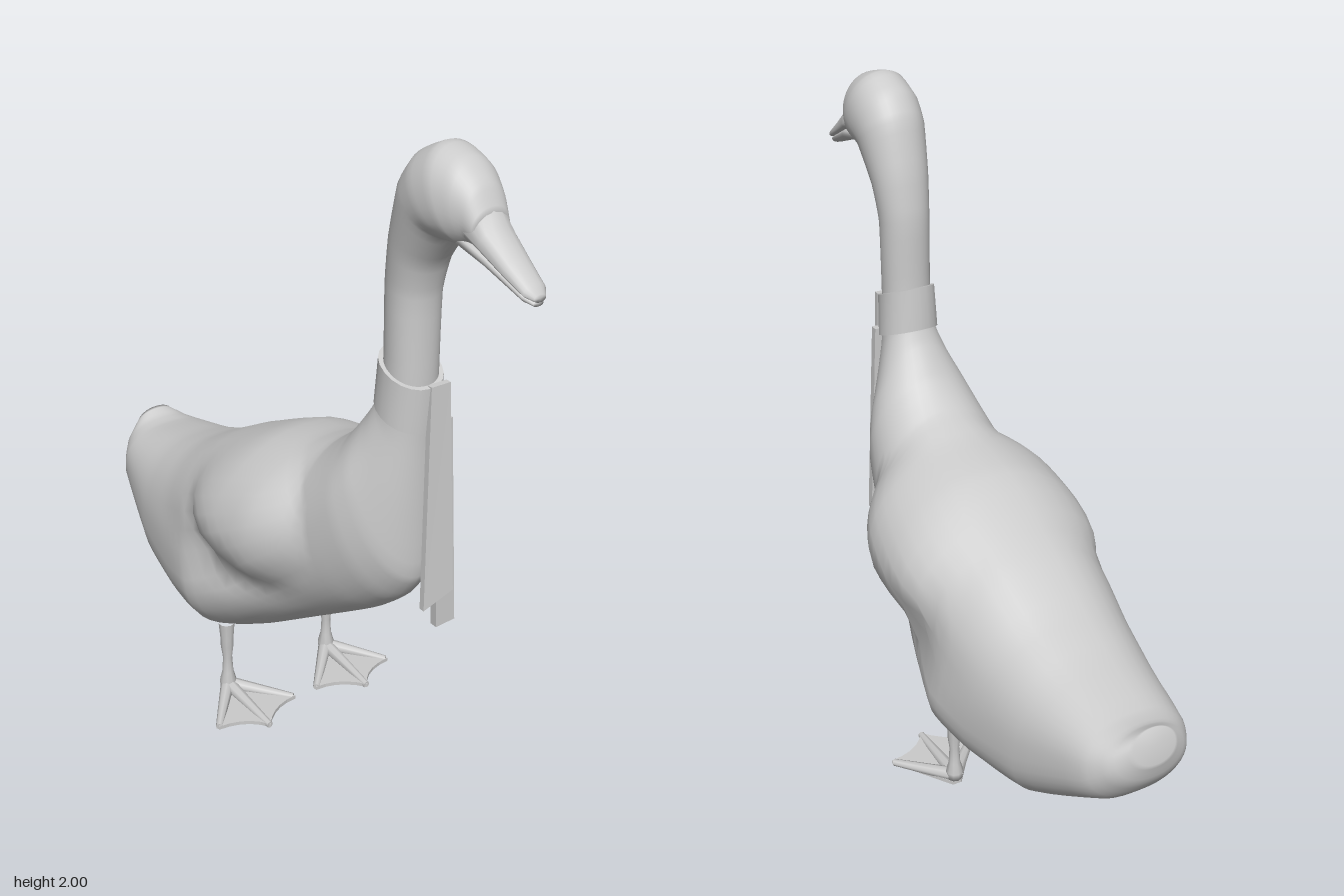
import * as THREE from 'three';
import { toCreasedNormals } from 'three/addons/utils/BufferGeometryUtils.js';

const material = new THREE.MeshStandardMaterial({ color: 0xcccccc });

function addMesh(parent, name, geometry) {
  const mesh = new THREE.Mesh(geometry, material);
  mesh.name = name;
  parent.add(mesh);
  return mesh;
}

// Add rings between the given ones along a fairly taut curve
function refine(sections, steps) {
  const full = sections.map(([a, b, c, d, w, m = 0.5, n = 2.1]) => [a, b, c, d, w, m, n]);
  const at = (i) => full[Math.max(0, Math.min(full.length - 1, i))];
  const out = [];
  for (let i = 0; i < full.length - 1; i++) {
    for (let s = 0; s < steps; s++) {
      const t = s / steps, ease = t * t * (3 - 2 * t);
      out.push(full[i].map((p, k) => {
        const q = at(i + 1)[k];
        const curve = p + (q - at(i - 1)[k]) * 0.4 * t * (1 - t) ** 2 - (at(i + 2)[k] - p) * 0.4 * t * t * (1 - t) + (q - p) * ease;
        return (curve + p + (q - p) * t) / 2;
      }));
    }
  }
  out.push(at(full.length));
  return out;
}

// Skin through rings. Each section: [topZ, topY, bottomZ, bottomY, halfWidth, widest height 0..1, squareness]
function loft(sections, sides = 24, caps = true) {
  const pos = [], index = [];
  for (const [tz, ty, bz, by, w, m = 0.5, n = 2.1] of sections) {
    for (let i = 0; i < sides; i++) {
      const a = (i / sides) * Math.PI * 2;
      const round = (v) => Math.sign(v) * Math.pow(Math.abs(v), 2 / n);
      const s = round(Math.sin(a));
      const t = m + s * (s > 0 ? 1 - m : m);
      pos.push(w * round(Math.cos(a)), by + (ty - by) * t, bz + (tz - bz) * t);
    }
  }
  for (let r = 0; r < sections.length - 1; r++) {
    for (let i = 0; i < sides; i++) {
      const a = r * sides + i, b = r * sides + ((i + 1) % sides);
      index.push(a, b, b + sides, a, b + sides, a + sides);
    }
  }
  if (caps) {
    for (const last of [false, true]) {
      const [tz, ty, bz, by] = sections[last ? sections.length - 1 : 0];
      const base = last ? (sections.length - 1) * sides : 0;
      const centre = pos.length / 3;
      pos.push(0, (ty + by) / 2, (tz + bz) / 2);
      for (let i = 0; i < sides; i++) {
        const a = base + i, b = base + ((i + 1) % sides);
        if (last) index.push(centre, a, b);
        else index.push(centre, b, a);
      }
    }
  }
  const g = new THREE.BufferGeometry();
  g.setAttribute('position', new THREE.Float32BufferAttribute(pos, 3));
  g.setIndex(index);
  g.computeVertexNormals();
  return g;
}

// Swell the shoulders into folded wings and pinch a waist between wing and belly
function swellWings(g) {
  const p = g.attributes.position;
  for (let i = 0; i < p.count; i++) {
    const y = p.getY(i), dz = p.getZ(i) - 0.06;
    const v = dz / (dz > 0 ? 0.22 : 0.32);
    const d = Math.hypot((y - 0.79) / 0.22, v);
    const swell = d < 1 ? 0.33 * (1 - d ** 3) : 0;
    const pinch = 0.08 * Math.exp(-(((y - 0.55) / 0.07) ** 2) - ((dz + 0.15) / 0.25) ** 2);
    p.setX(i, p.getX(i) * (1 + swell - pinch));
  }
  g.computeVertexNormals();
  return g;
}

// Hanging cloth strip: top and bottom given as [x0, x1, y, z]
function strip(top, bottom, thickness, slant) {
  const g = new THREE.BoxGeometry(1, 1, 1);
  const p = g.attributes.position;
  for (let i = 0; i < p.count; i++) {
    const [x0, x1, y, z] = p.getY(i) > 0 ? top : bottom;
    const right = p.getX(i) > 0;
    const lift = right && p.getY(i) < 0 ? slant : 0;
    p.setXYZ(i, right ? x1 : x0, y + lift, z + p.getZ(i) * thickness);
  }
  const flat = g.toNonIndexed();
  flat.computeVertexNormals();
  return flat;
}

// Tapered rod between two points
function rod(from, to, r0, r1) {
  const a = new THREE.Vector3(...from), b = new THREE.Vector3(...to);
  const d = b.clone().sub(a);
  const g = new THREE.CylinderGeometry(r1, r0, d.length(), 8);
  g.applyQuaternion(new THREE.Quaternion().setFromUnitVectors(new THREE.Vector3(0, 1, 0), d.normalize()));
  const mid = a.add(b).multiplyScalar(0.5);
  return g.translate(mid.x, mid.y, mid.z);
}

function makeLeg() {
  const leg = new THREE.Group();
  // Shank with knobbly joints
  const profile = [[0, 0], [0.024, 0.005], [0.027, 0.03], [0.018, 0.065], [0.015, 0.12], [0.021, 0.165], [0.021, 0.19], [0.026, 0.25]];
  const shank = new THREE.LatheGeometry(profile.map(([r, y]) => new THREE.Vector2(r, y)), 10);
  addMesh(leg, 'shank', shank).position.set(0.19, 0.015, -0.172);
  // Webbing, scalloped between the toes
  const web = new THREE.Shape();
  web.moveTo(0.175, -0.19);
  web.lineTo(0.04, -0.01);
  web.quadraticCurveTo(0.13, -0.01, 0.185, 0.07);
  web.quadraticCurveTo(0.225, -0.005, 0.325, -0.01);
  web.lineTo(0.205, -0.19);
  web.closePath();
  const sheet = new THREE.ExtrudeGeometry(web, { depth: 0.012, bevelEnabled: false, curveSegments: 5 });
  sheet.rotateX(Math.PI / 2).translate(0, 0.018, 0);
  addMesh(leg, 'webbing', sheet);
  // Toes
  for (const [x, z] of [[0.045, -0.015], [0.185, 0.065], [0.32, -0.015]]) {
    addMesh(leg, 'toe', rod([0.19, 0.03, -0.175], [x, 0.013, z], 0.022, 0.011));
  }
  return leg;
}

export function createModel() {
  const goose = new THREE.Group();
  goose.name = 'goose';

  // Body with folded wings, neck and head in one skin from tail to face
  const skin = [
    [-0.92, 0.66, -0.95, 0.56, 0.065],
    [-0.88, 0.64, -0.93, 0.49, 0.122],
    [-0.82, 0.64, -0.86, 0.40, 0.17, 0.5, 2.4],
    [-0.63, 0.69, -0.59, 0.23, 0.235, 0.42, 2.4],
    [-0.48, 0.75, -0.35, 0.20, 0.275, 0.36, 2.4],
    [-0.30, 0.85, -0.20, 0.21, 0.302, 0.34, 2.4],
    [-0.05, 0.97, -0.06, 0.28, 0.27, 0.36, 2.4],
    [0.12, 1.01, 0.10, 0.38, 0.247, 0.45, 2.3],
    [0.22, 1.05, 0.25, 0.475, 0.22, 0.5],
    [0.27, 1.09, 0.38, 0.56, 0.20, 0.56, 2],
    [0.31, 1.13, 0.48, 0.645, 0.182, 0.6, 1.9],
    [0.345, 1.18, 0.54, 0.74, 0.155, 0.62, 1.85],
    [0.375, 1.225, 0.545, 0.95, 0.117, 0.55, 2],
    [0.40, 1.28, 0.545, 1.15, 0.083],
    [0.41, 1.38, 0.55, 1.32, 0.073],
    [0.41, 1.60, 0.55, 1.57, 0.075],
    [0.43, 1.74, 0.575, 1.67, 0.085],
    [0.47, 1.89, 0.64, 1.76, 0.10],
    [0.52, 1.96, 0.68, 1.765, 0.105],
    [0.60, 2.00, 0.71, 1.765, 0.10],
    [0.68, 1.98, 0.725, 1.77, 0.085],
    [0.74, 1.93, 0.738, 1.775, 0.068],
    [0.775, 1.868, 0.76, 1.775, 0.056],
  ];
  addMesh(goose, 'body', swellWings(loft(refine(skin, 4), 40)));

  // Bill
  addMesh(goose, 'upperBill', loft([
    [0.74, 1.91, 0.69, 1.81, 0.068, 0.3],
    [0.80, 1.84, 0.78, 1.778, 0.056, 0.3],
    [0.87, 1.785, 0.865, 1.738, 0.045, 0.3],
    [0.93, 1.742, 0.93, 1.71, 0.035, 0.3],
    [0.95, 1.722, 0.95, 1.702, 0.018],
  ], 16));
  addMesh(goose, 'lowerBill', loft([
    [0.69, 1.815, 0.69, 1.765, 0.058, 0.6],
    [0.80, 1.78, 0.80, 1.738, 0.049, 0.6],
    [0.92, 1.72, 0.92, 1.694, 0.031, 0.6],
    [0.945, 1.706, 0.945, 1.69, 0.016],
  ], 16));

  // Neck scarf: collar and two hanging ends
  const collar = loft([
    [0.41, 1.262, 0.54, 1.205, 0.07],
    [0.383, 1.262, 0.56, 1.195, 0.09],
    [0.394, 1.395, 0.564, 1.325, 0.085],
    [0.42, 1.387, 0.545, 1.33, 0.068],
  ], 20, false);
  addMesh(goose, 'collar', toCreasedNormals(collar, 0.7));
  addMesh(goose, 'scarfEndFront', strip([0.0, 0.062, 1.33, 0.56], [-0.03, 0.07, 0.675, 0.598], 0.018, 0.035));
  addMesh(goose, 'scarfEndBack', strip([0.025, 0.08, 1.22, 0.55], [0.045, 0.11, 0.575, 0.56], 0.024, 0.005));

  // Legs, mirrored
  for (const [side, label] of [[1, 'left'], [-1, 'right']]) {
    const leg = makeLeg();
    leg.name = label + 'Leg';
    leg.scale.x = side;
    goose.add(leg);
  }
  return goose;
}
